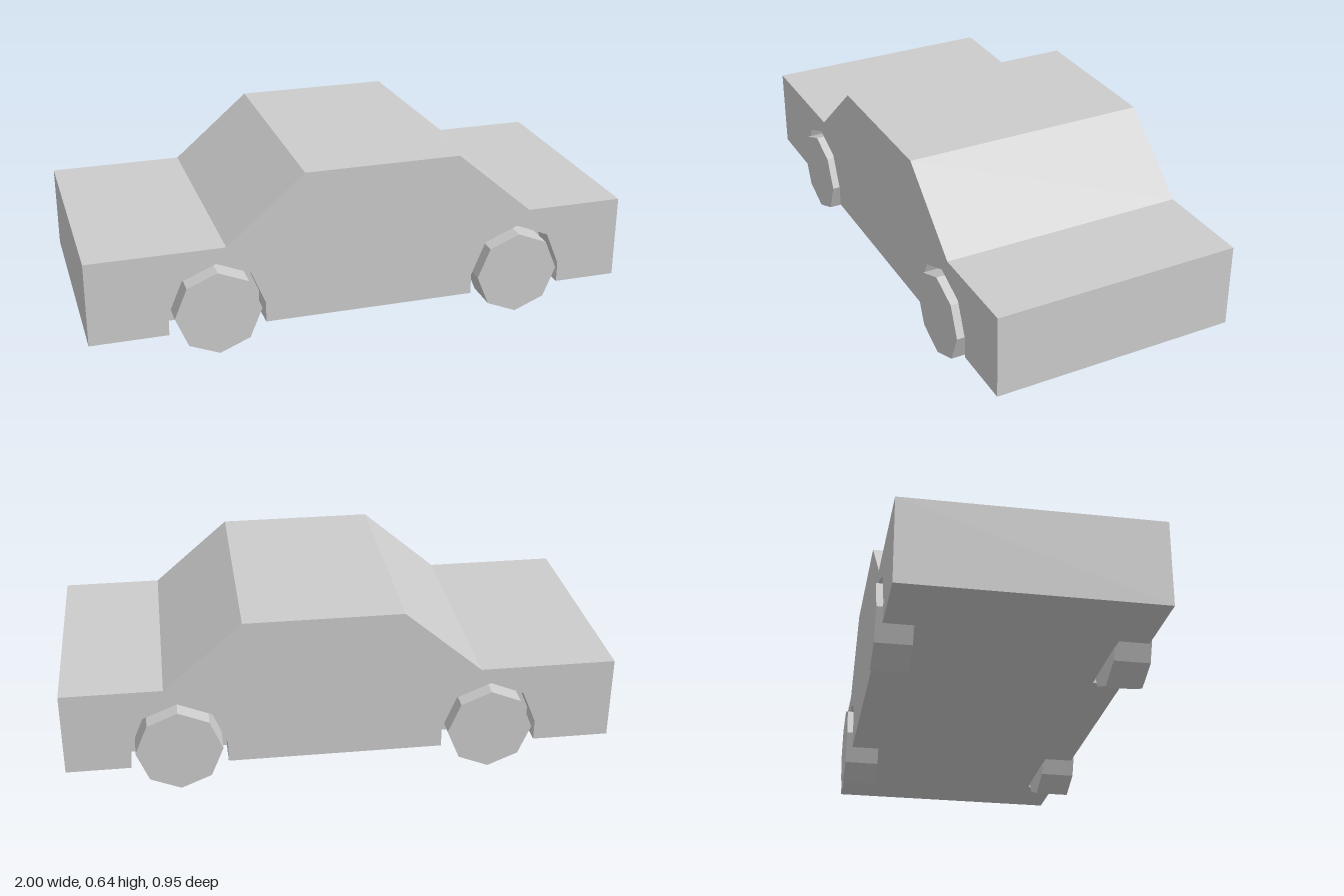
import * as THREE from 'three';

const HALF_WIDTH = 0.452;   // body side planes
const WELL_Z = 0.345;       // inner wall of the wheel wells
const FLOOR = 0.088;
const WHEEL_X = [-0.543, 0.591];
const WHEEL_R = 0.157;
const ARCH_R = 0.175;

// Body outline, from the bottom of one end over the roof to the other
const OUTLINE = [
  [-1, FLOOR], [-1, 0.398], [-0.505, 0.398], [-0.22, 0.643],
  [0.352, 0.643], [0.636, 0.398], [1, 0.398], [1, FLOOR],
];

// Half-octagon arch with straight legs, left to right
function archPoints(cx) {
  const points = [[cx - ARCH_R, FLOOR]];
  for (let i = 0; i <= 4; i++) {
    const a = Math.PI * (1 - i / 4);
    points.push([cx + ARCH_R * Math.cos(a), 0.165 + ARCH_R * Math.sin(a)]);
  }
  points.push([cx + ARCH_R, FLOOR]);
  return points;
}

function flatShape(points) {
  return new THREE.ShapeGeometry(new THREE.Shape(points.map(([x, y]) => new THREE.Vector2(x, y))));
}

// Flat quads along a path, spanning z0 to z1, facing up when the path runs to +x
function strip(points, z0, z1) {
  const v = [];
  for (let i = 0; i < points.length - 1; i++) {
    const [ax, ay] = points[i], [bx, by] = points[i + 1];
    v.push(ax, ay, z1, bx, by, z1, bx, by, z0);
    v.push(ax, ay, z1, bx, by, z0, ax, ay, z0);
  }
  const g = new THREE.BufferGeometry();
  g.setAttribute('position', new THREE.Float32BufferAttribute(v, 3));
  g.computeVertexNormals();
  return g;
}

export function createModel() {
  const model = new THREE.Group();
  model.name = 'car';
  const grey = new THREE.MeshStandardMaterial({ color: 0xcccccc, flatShading: true });
  grey.name = 'light grey';

  const add = (parent, name, geometry) => {
    const mesh = new THREE.Mesh(geometry, grey);
    mesh.name = name;
    parent.add(mesh);
    return mesh;
  };

  // Ends, hood, windscreens, roof and rear deck
  add(model, 'bodyShell', strip(OUTLINE, -HALF_WIDTH, HALF_WIDTH));

  // Underside, notched at the four wheel wells
  const floorEdge = [];
  for (const s of [1, -1]) {
    floorEdge.push([-s, s * HALF_WIDTH]);
    for (const cx of WHEEL_X.map((x) => x * s).sort((a, b) => a - b)) {
      const l = s * (cx - ARCH_R), r = s * (cx + ARCH_R);
      floorEdge.push([l, s * HALF_WIDTH], [l, s * WELL_Z], [r, s * WELL_Z], [r, s * HALF_WIDTH]);
    }
    floorEdge.push([s, s * HALF_WIDTH]);
  }
  add(model, 'underside', flatShape(floorEdge).rotateX(Math.PI / 2).translate(0, FLOOR, 0));

  // Each flank is built facing +z, then the far one is turned half round
  for (const s of [1, -1]) {
    const flank = new THREE.Group();
    flank.name = s > 0 ? 'frontFlank' : 'backFlank';
    flank.rotation.y = s > 0 ? 0 : Math.PI;
    model.add(flank);

    const centres = WHEEL_X.map((x) => x * s).sort((a, b) => b - a);
    const top = OUTLINE.map(([x, y]) => [x * s, y]);
    if (s < 0) top.reverse();
    const cutouts = centres.flatMap((cx) => archPoints(cx).reverse());
    add(flank, 'sidePanel', flatShape([...top, ...cutouts]).translate(0, 0, HALF_WIDTH));

    for (const cx of centres) {
      const arch = archPoints(cx);
      add(flank, 'wheelWellBack', flatShape(arch).translate(0, 0, WELL_Z));
      add(flank, 'wheelWellArch', strip(arch.reverse(), WELL_Z, HALF_WIDTH));
      const wheel = new THREE.CylinderGeometry(WHEEL_R, WHEEL_R, 0.13, 8).rotateX(Math.PI / 2);
      add(flank, 'wheel', wheel).position.set(cx, WHEEL_R, 0.408);
    }
  }
  return model;
}
